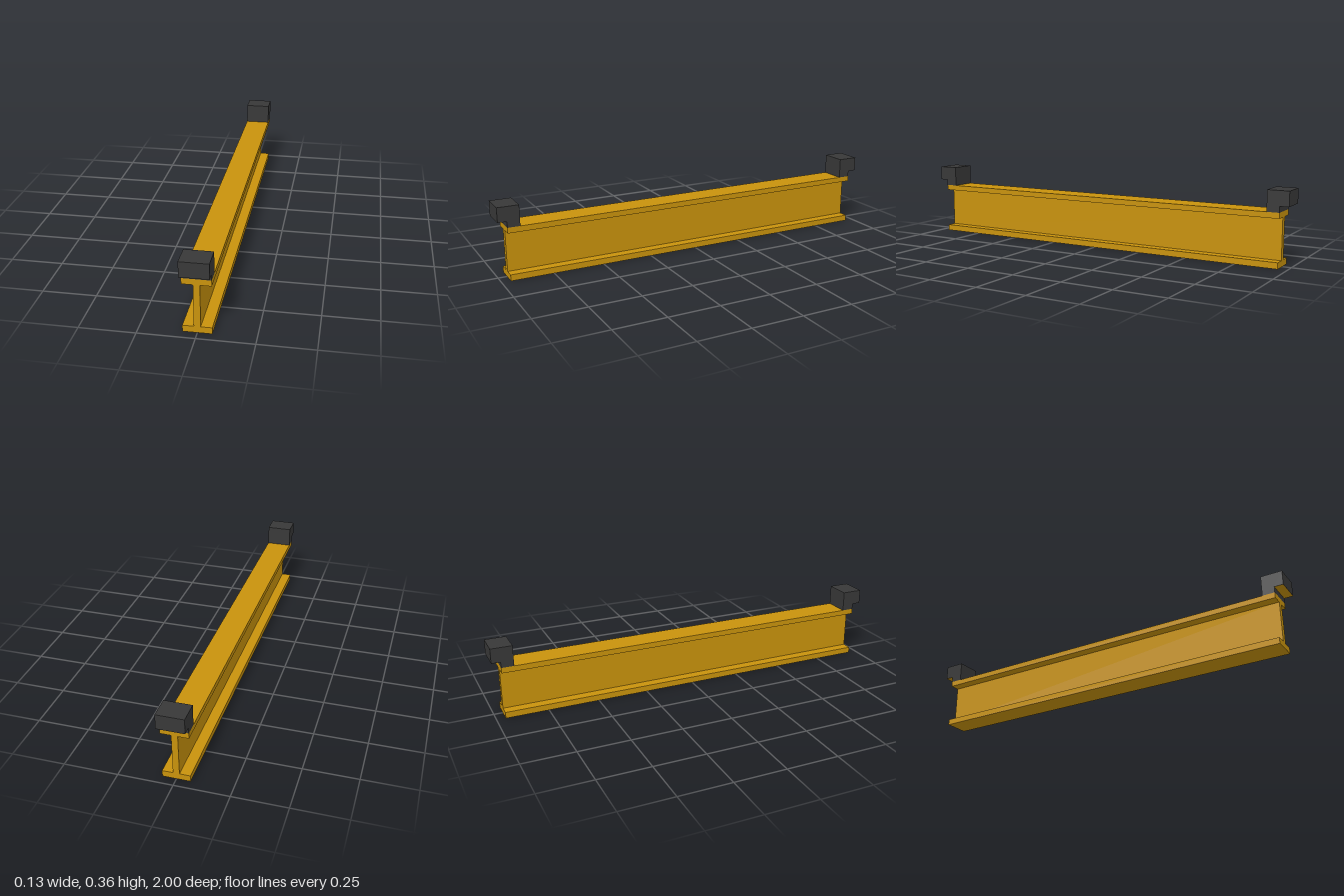
import * as THREE from 'three';

const HALF_WIDTH = 0.0635, BEAM_HALF = 0.957;
const gold = new THREE.MeshStandardMaterial({ color: 0xc8920c });
const dark = new THREE.MeshStandardMaterial({ color: 0x383838 });

// Extrudes a closed outline along z, centred on z = 0
function extrude(points, depth) {
  const shape = new THREE.Shape(points.map(([x, y]) => new THREE.Vector2(x, y)));
  return new THREE.ExtrudeGeometry(shape, { depth, bevelEnabled: false }).translate(0, 0, -depth / 2);
}

function addMesh(parent, name, geometry, material) {
  const mesh = new THREE.Mesh(geometry, material);
  mesh.name = name;
  parent.add(mesh);
  return mesh;
}

export function createModel() {
  const model = new THREE.Group();
  model.name = 'girder';

  // I-section beam: right half of the outline, then mirrored
  const w = HALF_WIDTH, web = 0.0145;
  const half = [[w, 0], [w, 0.03], [web, 0.03], [web, 0.229], [w, 0.229], [w, 0.256]];
  const outline = [...half, ...half.map(([x, y]) => [-x, y]).reverse()];
  addMesh(model, 'beam', extrude(outline, BEAM_HALF * 2), gold);

  // Hooked end stops, overhanging each end of the beam
  const hook = [[0.897, 0.256], [BEAM_HALF, 0.256], [BEAM_HALF, 0.285], [1, 0.285], [1, 0.356], [0.897, 0.356]];
  const hookGeometry = extrude(hook, w * 2).rotateY(-Math.PI / 2);
  const lipGeometry = new THREE.PlaneGeometry(w * 2, 1 - BEAM_HALF)
    .rotateX(Math.PI / 2)
    .translate(0, 0.2845, (1 + BEAM_HALF) / 2);
  for (const [name, angle] of [['frontStop', 0], ['backStop', Math.PI]]) {
    const stop = new THREE.Group();
    stop.name = name;
    addMesh(stop, name + 'Hook', hookGeometry, dark);
    // painted underside of the overhang
    addMesh(stop, name + 'Underside', lipGeometry, gold);
    stop.rotation.y = angle;
    model.add(stop);
  }
  return model;
}
